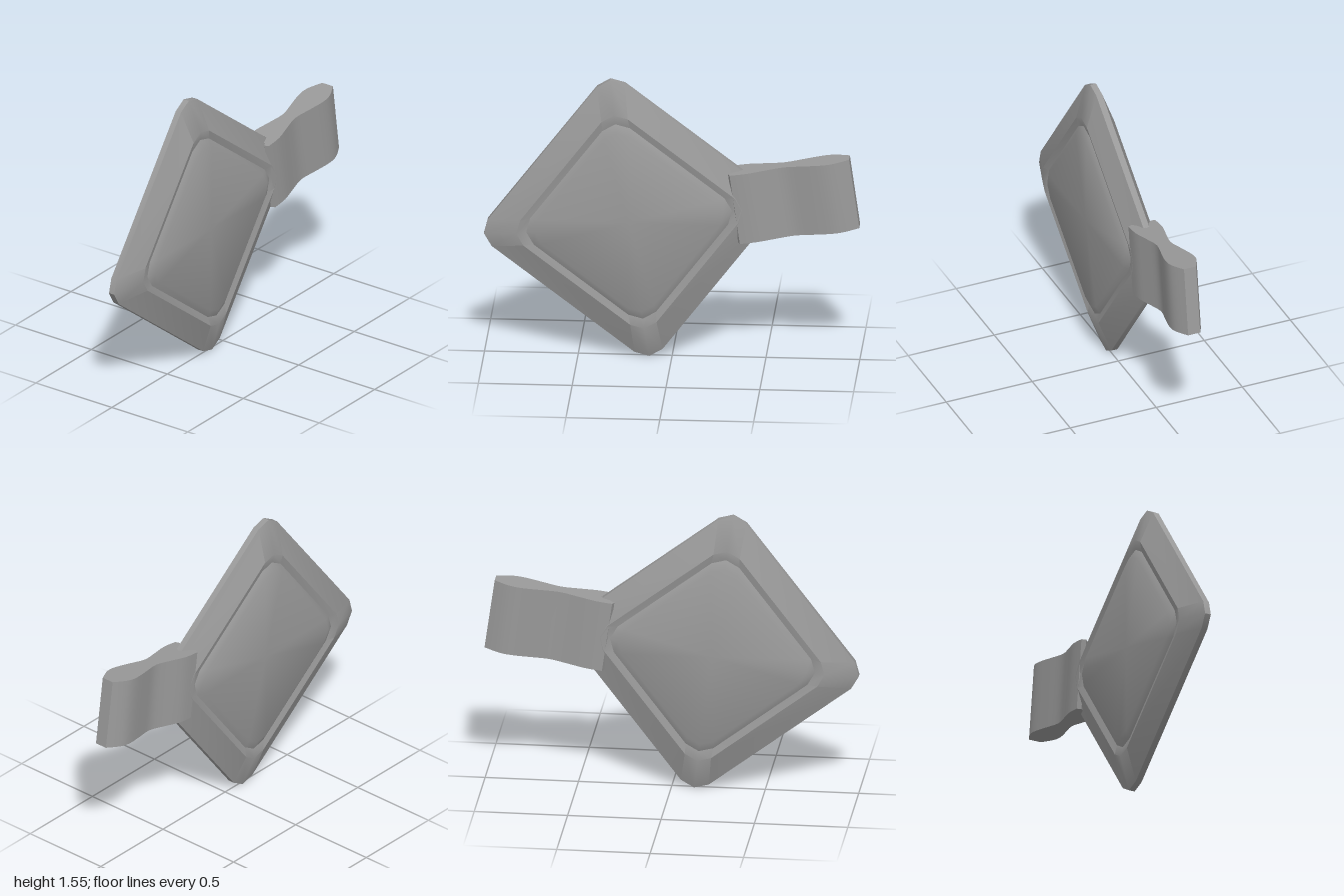
import * as THREE from 'three';
import { toCreasedNormals } from 'three/addons/utils/BufferGeometryUtils.js';

// Square outline with chamfer-rounded corners, counter-clockwise
function roundedSquare(half, radius) {
  const points = [];
  for (let corner = 0; corner < 4; corner++) {
    const mid = Math.PI / 4 + corner * Math.PI / 2;
    const cx = Math.sign(Math.cos(mid)) * (half - radius);
    const cy = Math.sign(Math.sin(mid)) * (half - radius);
    for (let k = -1; k <= 1; k++) {
      const a = mid + k * Math.PI / 4;
      points.push([cx + radius * Math.cos(a), cy + radius * Math.sin(a)]);
    }
  }
  return points;
}

// Lofts rounded squares [half, radius, z] from the front centre to the back centre
function loftSquares(rings) {
  const position = [];
  const index = [];
  const n = 12;
  for (const [half, radius, z] of rings) {
    for (const [x, y] of roundedSquare(half, radius)) position.push(x, y, z);
  }
  for (let i = 0; i < rings.length - 1; i++) {
    for (let j = 0; j < n; j++) {
      const k = (j + 1) % n;
      const a = i * n + j, b = i * n + k, c = a + n, d = b + n;
      index.push(a, c, d, a, d, b);
    }
  }
  // Fans closing both faces
  const front = position.length / 3;
  const last = (rings.length - 1) * n;
  position.push(0, 0, rings[0][2], 0, 0, rings[rings.length - 1][2]);
  for (let j = 0; j < n; j++) {
    const k = (j + 1) % n;
    index.push(front, j, k, front + 1, last + k, last + j);
  }
  const geometry = new THREE.BufferGeometry();
  geometry.setAttribute('position', new THREE.Float32BufferAttribute(position, 3));
  geometry.setIndex(index);
  return toCreasedNormals(geometry, 0.6);
}

export function createModel() {
  const group = new THREE.Group();
  const metal = new THREE.MeshStandardMaterial({ color: 0x999999 });
  metal.name = 'grey metal';

  // Pendant: raised panel, groove, shoulder and thin outer edge, alike front and back
  const side = [
    [0.388, 0.1, 0.09],
    [0.422, 0.105, 0.069],
    [0.458, 0.1, 0.08],
    [0.586, 0.107, 0.017],
  ];
  const rings = [...side, ...side.slice().reverse().map(([h, r, z]) => [h, r, -z])];
  const pendant = new THREE.Mesh(loftSquares(rings), metal);
  pendant.name = 'pendant';
  pendant.rotation.z = -0.652;
  pendant.position.set(-0.225, 0.78, 0);
  group.add(pendant);

  // Clasp: waisted strip, forked where it grips the pendant
  const length = 0.65;
  const width = 0.389;
  const waist = new THREE.SplineCurve([
    [0.01, 0.078], [0.1, 0.079], [0.2, 0.058], [0.3, 0.04], [0.4, 0.059],
    [0.5, 0.078], [0.57, 0.073], [length, 0.035],
  ].map(([x, y]) => new THREE.Vector2(x, y))).getPoints(21);
  const half = [new THREE.Vector2(0.03, 0.03), new THREE.Vector2(0, 0.055), ...waist];
  const mirrored = half.slice().reverse().map((p) => new THREE.Vector2(p.x, -p.y));
  const outline = new THREE.Shape([new THREE.Vector2(0.08, 0), ...half, ...mirrored]);
  const strip = new THREE.ExtrudeGeometry(outline, { depth: width, bevelEnabled: false });
  strip.translate(-length, 0, -width / 2);
  strip.rotateX(-Math.PI / 2);
  const clasp = new THREE.Mesh(toCreasedNormals(strip, 0.45), metal);
  clasp.name = 'clasp';
  clasp.rotation.z = 0.141;
  clasp.position.set(0.972, 0.952, 0);
  group.add(clasp);

  return group;
}
